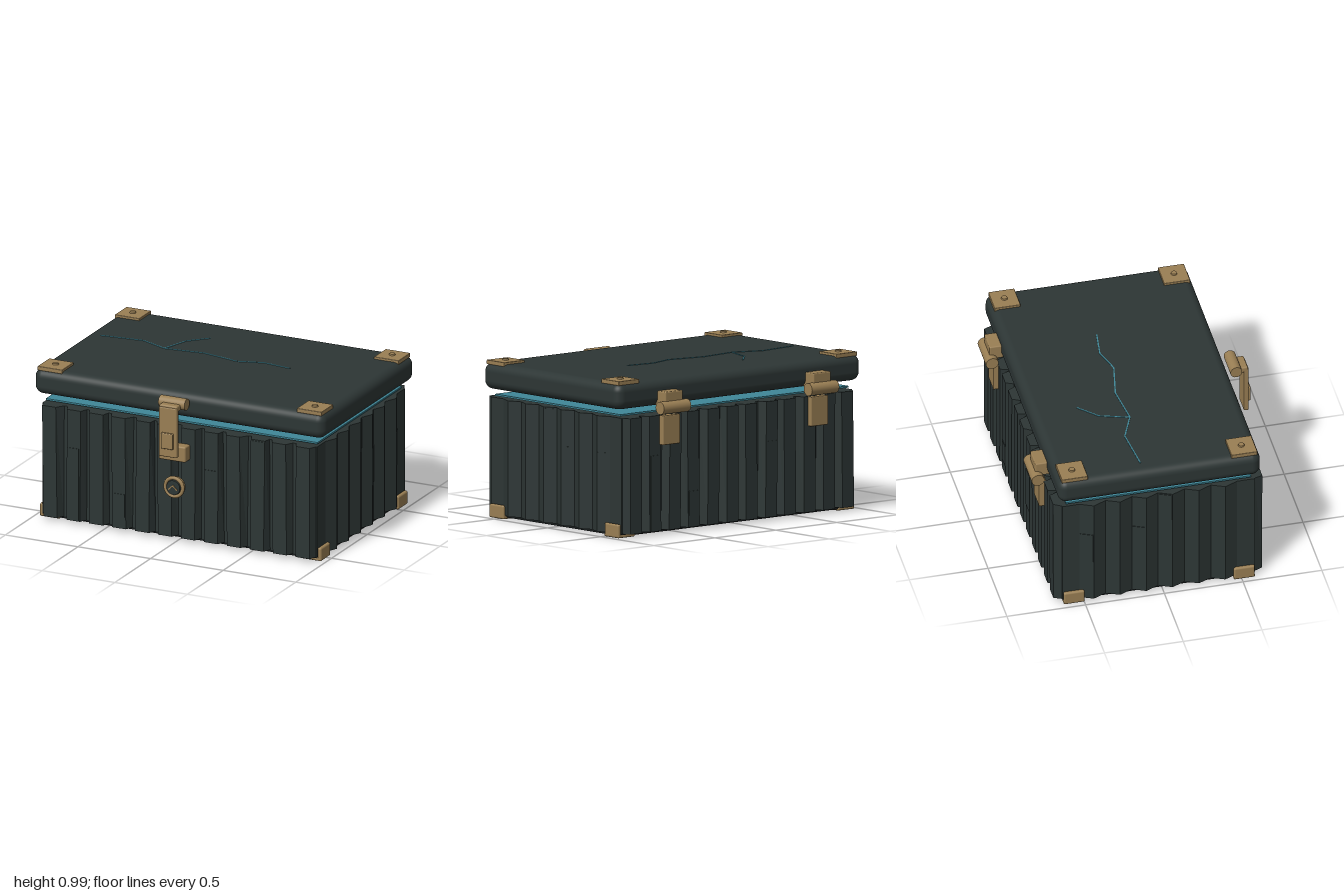
import * as THREE from 'three';
import { RoundedBoxGeometry } from 'three/addons/geometries/RoundedBoxGeometry.js';

const mat = (name, color, extra = {}) => {
  const m = new THREE.MeshStandardMaterial({ color, ...extra });
  m.name = name;
  return m;
};

export function createModel() {
  const root = new THREE.Group();
  root.name = 'chest';
  const slate = mat('slate', 0x2d3635);
  const plankSlate = mat('plank slate', 0x2d3635, { flatShading: true });
  const dark = mat('dark base', 0x171b1c);
  const brass = mat('brass', 0x9a7f54);
  const teal = mat('glowing teal', 0x3f8798);

  const add = (name, geo, material, x = 0, y = 0, z = 0, parent = root) => {
    const m = new THREE.Mesh(geo, material);
    m.name = name;
    m.position.set(x, y, z);
    parent.add(m);
    return m;
  };
  // Rounded block given by its extents
  const block = (name, material, [x0, x1], [y0, y1], [z0, z1], r = 0.006, parent = root) => {
    const geo = r
      ? new RoundedBoxGeometry(x1 - x0, y1 - y0, z1 - z0, 2, r)
      : new THREE.BoxGeometry(x1 - x0, y1 - y0, z1 - z0);
    return add(name, geo, material, (x0 + x1) / 2, (y0 + y1) / 2, (z0 + z1) / 2, parent);
  };
  const barrel = (name, r, len, x, y, z, parent = root) => {
    add(name, new THREE.CylinderGeometry(r, r, len, 24).rotateZ(Math.PI / 2), brass, x, y, z, parent);
  };

  // Body outline: trapezoid planks front and back, pleats on the sides
  const peaks = Array.from({ length: 12 }, (_, k) => -0.869 + 0.158 * k);
  const ridge = (valley, top) => peaks.flatMap((c) => [
    [c - 0.069, valley], [c - 0.047, top], [c + 0.047, top], [c + 0.069, valley]]);
  const side = [[0.945, 0.59]];
  for (let k = 0; k <= 12; k++) side.push([k % 2 ? 0.982 : 0.945, 0.475 - 0.0835 * k]);
  side.push([0.945, -0.635]);
  const outline = [
    ...ridge(0.59, 0.64), ...side,
    ...ridge(-0.635, -0.685).reverse(),
    ...side.map(([x, z]) => [-x, z]).reverse(),
  ];
  const bodyGeo = new THREE.ExtrudeGeometry(
    new THREE.Shape(outline.map(([x, z]) => new THREE.Vector2(x, -z))),
    { depth: 0.723, bevelEnabled: false }).rotateX(-Math.PI / 2).translate(0, 0.025, 0);
  // Lean the plank edges a little, each by its own amount
  const p = bodyGeo.attributes.position;
  for (let i = 0; i < p.count; i++) {
    const x = p.getX(i), z = p.getZ(i);
    if (p.getY(i) > 0.5 && Math.abs(x) < 0.93) {
      p.setX(i, x + 0.009 * Math.sin(Math.round(x * 1000) * 12.9 + Math.round(z * 100) * 7.3));
    }
  }
  bodyGeo.computeVertexNormals();
  add('plankedBody', bodyGeo, plankSlate);
  block('basePlate', dark, [-0.94, 0.94], [0.01, 0.03], [-0.628, 0.583], 0);

  // Short plank inserts standing slightly proud
  for (const [k, y0, y1] of [[3, 0.1, 0.25], [9, 0.5, 0.74], [7, 0.22, 0.5], [1, 0.03, 0.5]]) {
    const c = peaks[k];
    block('frontInsert', plankSlate, [c - 0.04, c + 0.04], [y0, y1], [0.636, 0.643], 0);
    block('backInsert', plankSlate, [-c - 0.04, -c + 0.04], [y0, y1], [-0.688, -0.681], 0);
  }
  for (const s of [-1, 1]) {
    for (const [z, y0, y1] of [[-0.151, 0.28, 0.52], [-0.485, 0.31, 0.52], [0.0165, 0.55, 0.74]]) {
      const m = add('sideInsert', new THREE.BoxGeometry(0.007, y1 - y0, 0.084), plankSlate,
        s * 0.9635, (y0 + y1) / 2, z);
      m.rotation.y = s * Math.atan(0.037 / 0.0835);
    }
  }

  // Glowing seam and lid
  block('glowingSeam', teal, [-0.935, 0.935], [0.757, 0.768], [-0.61, 0.567], 0);
  add('lid', new RoundedBoxGeometry(2, 0.164, 1.284, 5, 0.055), slate, 0, 0.885, -0.025);

  // Lid corner plates with rivets, and feet
  for (const s of [-1, 1]) {
    const span = (a, b) => (s > 0 ? [a, b] : [-b, -a]);
    for (const [z0, z1] of [[-0.645, -0.48], [0.432, 0.597]]) {
      block('lidCornerPlate', brass, span(0.808, 0.978), [0.955, 0.982], [z0, z1], 0.004);
      add('lidRivet', new THREE.CylinderGeometry(0.018, 0.021, 0.012, 16), brass,
        s * 0.893, 0.985, (z0 + z1) / 2);
    }
    for (const [z0, z1] of [[-0.63, -0.497], [0.45, 0.584]]) {
      block('footSole', brass, span(0.832, 0.968), [0, 0.02], [z0, z1], 0.007);
      block('footSide', brass, span(0.942, 0.97), [0, 0.086], [z0, z1], 0.012);
    }
  }

  // Cracks across the lid
  const crack = (pts) => {
    for (let i = 0; i + 1 < pts.length; i++) {
      const [[x0, z0], [x1, z1]] = [pts[i], pts[i + 1]];
      const m = add('lidCrack', new THREE.BoxGeometry(Math.hypot(x1 - x0, z1 - z0) + 0.004, 0.006, 0.008),
        teal, (x0 + x1) / 2, 0.967, (z0 + z1) / 2);
      m.rotation.y = -Math.atan2(z1 - z0, x1 - x0);
    }
  };
  crack([[-0.9, -0.13], [-0.62, -0.16], [-0.44, -0.085], [-0.18, -0.115], [0.07, -0.065], [0.23, -0.115], [0.42, -0.09]]);
  crack([[-0.44, -0.085], [-0.38, -0.27], [-0.27, -0.38]]);

  // Front latch
  const latch = new THREE.Group();
  latch.name = 'latch';
  root.add(latch);
  barrel('latchBarrel', 0.037, 0.18, 0, 0.919, 0.675, latch);
  block('latchArm', brass, [-0.062, 0.062], [0.885, 0.925], [0.67, 0.757], 0.01, latch);
  block('latchStrap', brass, [-0.062, 0.062], [0.588, 0.912], [0.73, 0.762], 0.008, latch);
  block('latchPanel', brass, [-0.041, 0.041], [0.645, 0.747], [0.755, 0.779], 0.006, latch);
  block('latchCatch', brass, [-0.093, 0.093], [0.545, 0.647], [0.63, 0.703], 0.01, latch);

  // Round lock plate with a small chevron
  const lock = new THREE.Group();
  lock.name = 'lockPlate';
  lock.position.set(0, 0.365, 0.672);
  root.add(lock);
  add('lockRing', new THREE.TorusGeometry(0.06, 0.012, 10, 36), brass, 0, 0, 0, lock);
  add('lockBack', new THREE.CylinderGeometry(0.062, 0.062, 0.03, 32).rotateX(Math.PI / 2), brass, 0, 0, -0.016, lock);
  add('lockDisc', new THREE.CylinderGeometry(0.046, 0.05, 0.016, 32).rotateX(Math.PI / 2), slate, 0, 0, 0.006, lock);
  for (const s of [-1, 1]) {
    add('lockChevron', new THREE.BoxGeometry(0.042, 0.007, 0.009), brass, s * 0.014, 0.001, 0.017, lock)
      .rotation.z = -s * 0.75;
  }

  // Rear hinges
  for (const s of [-1, 1]) {
    const hinge = new THREE.Group();
    hinge.name = 'hinge';
    hinge.position.x = s * 0.607;
    root.add(hinge);
    block('hingeBlock', brass, [-0.072, 0.072], [0.805, 0.898], [-0.742, -0.64], 0.008, hinge);
    barrel('hingeBarrel', 0.04, 0.222, 0, 0.8, -0.734, hinge);
    block('hingeLeaf', brass, [-0.07, 0.07], [0.563, 0.747], [-0.718, -0.67], 0.006, hinge);
  }
  return root;
}
